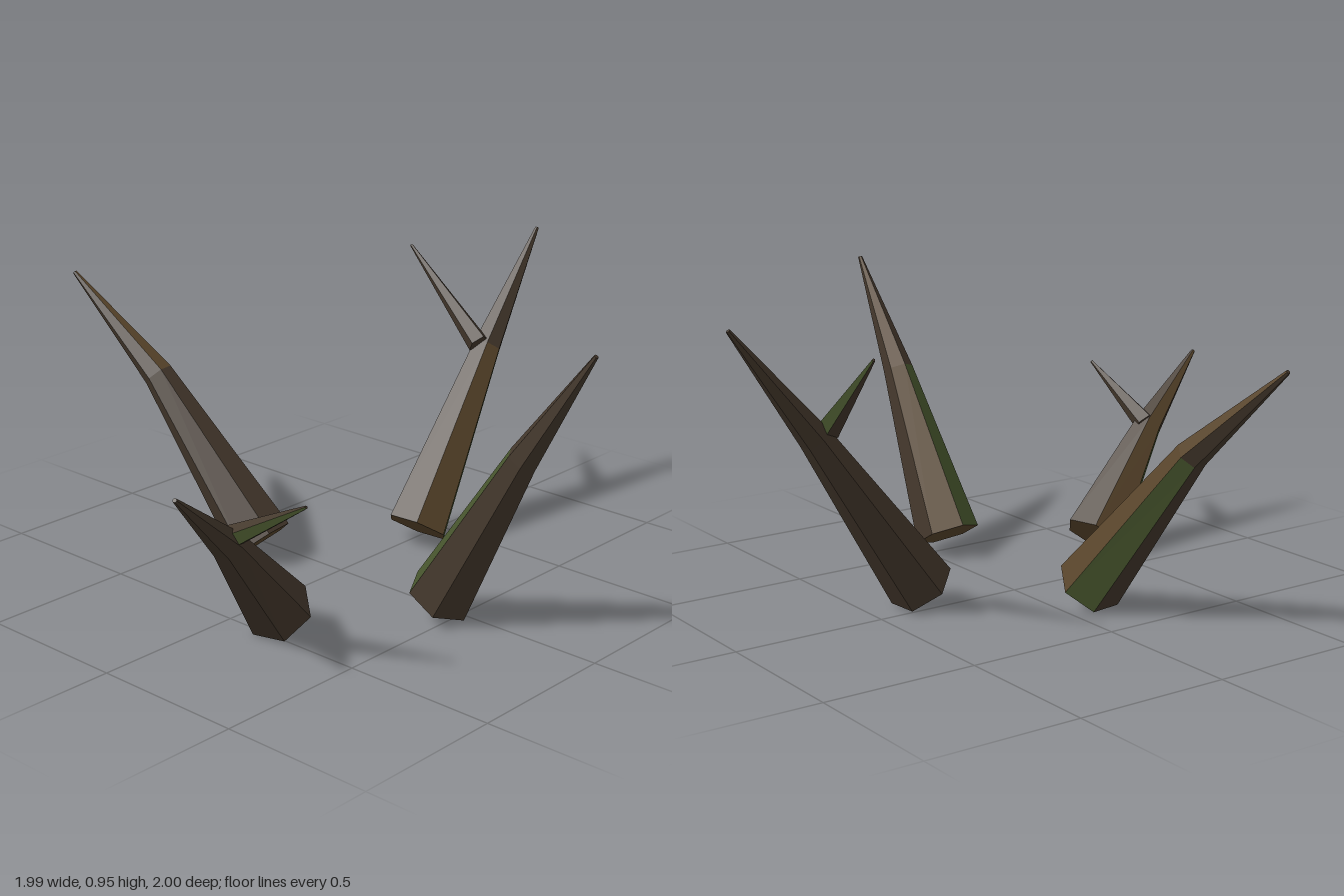
import * as THREE from 'three';

const make = (name, color) => Object.assign(new THREE.MeshStandardMaterial({ color, flatShading: true }), { name });

// Faceted tapering spike through several centre points.
// faces: one string per section, one letter per side (n, w, m); side 0 faces up and inward.
function spike(name, mats, points, radii, faces, turn, capIndex) {
  const sides = faces[0].length;
  const pts = points.map((p) => new THREE.Vector3(...p));
  const last = pts.length - 1;
  const rings = pts.map((p, i) => {
    const dir = pts[Math.min(i + 1, last)].clone().sub(pts[Math.max(i - 1, 0)]).normalize();
    const u = new THREE.Vector3(0, 1, 0).addScaledVector(dir, -dir.y).normalize();
    const v = dir.clone().cross(u);
    return Array.from({ length: sides }, (_, k) => {
      const a = turn + ((k - 0.5) / sides) * Math.PI * 2;
      return p.clone().addScaledVector(u, Math.cos(a) * radii[i]).addScaledVector(v, Math.sin(a) * radii[i]);
    });
  });

  const pos = [];
  const geo = new THREE.BufferGeometry();
  const add = (mat, ...corners) => {
    geo.addGroup(pos.length / 3, corners.length, mat);
    corners.forEach((c) => pos.push(c.x, c.y, c.z));
  };
  for (let k = 0; k < sides; k++) {
    const n = (k + 1) % sides;
    for (let i = 0; i < last; i++) {
      const a = rings[i][k], b = rings[i][n], c = rings[i + 1][n], d = rings[i + 1][k];
      add('nwm'.indexOf(faces[i][k]), a, b, c, a, c, d);
    }
    add(capIndex, pts[0], rings[0][n], rings[0][k]);
    add(0, pts[last], rings[last][k], rings[last][n]);
  }
  geo.setAttribute('position', new THREE.Float32BufferAttribute(pos, 3));
  geo.computeVertexNormals();
  const mesh = new THREE.Mesh(geo, mats);
  mesh.name = name;
  return mesh;
}

export function createModel() {
  const mats = [make('darkBark', 0x44382c), make('warmBark', 0x5a462c), make('moss', 0x48562e)];
  const group = new THREE.Group();
  group.name = 'thornSpikes';

  // Four bent spikes leaning outwards
  const radii = [0.107, 0.05, 0.007];
  const trunks = [
    ['leftSpike', [[0.325, 0.076, 0.045], [0.708, 0.61, 0.018], [0.99, 0.963, 0]], ['nwmnnn', 'nnnnnn'], 0],
    ['backSpike', [[-0.105, 0.076, -0.255], [-0.165, 0.57, -0.66], [-0.22, 0.867, -0.995]], ['nwmnnn', 'wwnnnn'], 0],
    ['rightSpike', [[-0.453, 0.076, 0.163], [-0.745, 0.405, 0.245], [-0.995, 0.628, 0.305]], ['nwmnnn', 'nwnnnn'], 0],
    ['frontSpike', [[-0.053, 0.08, 0.46], [-0.053, 0.6, 0.757], [-0.053, 0.96, 0.995]], ['mnnnnw', 'nnnnnw'], Math.PI / 6],
  ];
  for (const [name, pts, faces, turn] of trunks) group.add(spike(name, mats, pts, radii, faces, turn, 1));

  // Side thorns growing from the bends of two spikes
  const thorns = [
    ['leftThorn', [[0.66, 0.63, 0.02], [0.71, 0.9, -0.322]]],
    ['rightThorn', [[-0.727, 0.415, 0.235], [-0.717, 0.586, 0.528]]],
  ];
  for (const [name, pts] of thorns) group.add(spike(name, mats, pts, [0.038, 0.005], ['nmnnn'], Math.PI / 5, 0));

  return group;
}
